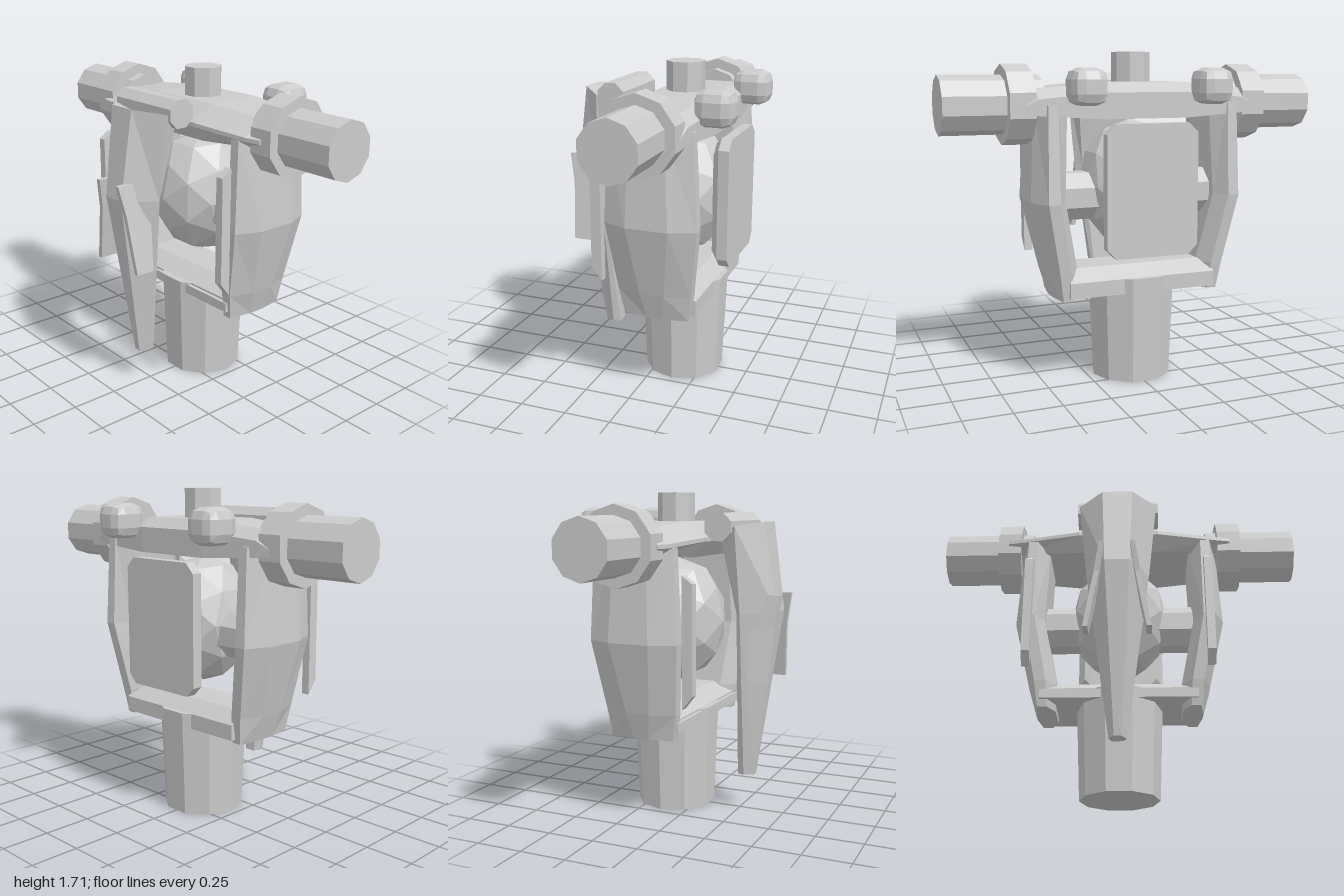
import * as THREE from 'three';
import { RoundedBoxGeometry } from 'three/addons/geometries/RoundedBoxGeometry.js';

const material = new THREE.MeshStandardMaterial({ color: 0xcccccc, flatShading: true });
const AXIS_Z = -0.13;

export function createModel() {
  const group = new THREE.Group();

  function add(name, geometry, x = 0, y = 0, z = 0) {
    const mesh = new THREE.Mesh(geometry, material);
    mesh.name = name;
    mesh.position.set(x, y, z);
    group.add(mesh);
    return mesh;
  }

  // Closed solid through rings of [x, y, z] corners, capped and wound outward
  function loft(rings) {
    const n = rings[0].length;
    const last = (rings.length - 1) * n;
    const points = rings.flat().map((p) => new THREE.Vector3(...p));
    const index = [];
    for (let r = 0; r < rings.length - 1; r++) {
      for (let i = 0; i < n; i++) {
        const a = r * n + i, b = r * n + ((i + 1) % n);
        index.push(a, b, b + n, a, b + n, a + n);
      }
    }
    for (let i = 1; i < n - 1; i++) {
      index.push(0, i + 1, i, last, last + i, last + i + 1);
    }
    let volume = 0;
    for (let i = 0; i < index.length; i += 3) {
      const [a, b, c] = [0, 1, 2].map((k) => points[index[i + k]]);
      volume += a.dot(b.clone().cross(c));
    }
    if (volume < 0) index.reverse();
    const geometry = new THREE.BufferGeometry().setFromPoints(points);
    geometry.setIndex(index);
    geometry.computeVertexNormals();
    return geometry;
  }

  // Profile of [z, y] points extruded across x
  const slab = (profile, x0, x1) =>
    loft([x0, x1].map((x) => profile.map(([z, y]) => [x, y, z])));

  // Cylinder lying along x
  const bar = (radius, length, sides, start = Math.PI / 2) =>
    new THREE.CylinderGeometry(radius, radius, length, sides, 1, false, start).rotateZ(Math.PI / 2);

  // Post with a wider top
  add('post', new THREE.CylinderGeometry(0.235, 0.213, 0.56, 10, 1, false, Math.PI / 2), 0, 0.28, -0.135);

  // Lower crossbar between the arms
  add('lowerCrossbar', slab(
    [[0.05, 0.5], [0.05, 0.56], [-0.05, 0.62], [-0.25, 0.62], [-0.33, 0.56], [-0.33, 0.48]], -0.4, 0.4));
  add('crossbarLip', new THREE.BoxGeometry(0.84, 0.05, 0.04), 0, 0.525, 0.05);

  // Arched upper beam: [x, front z, back z, bottom y, lip y, top y]
  const beam = [
    [-0.63, 0.07, -0.32, 1.41, 1.46, 1.49],
    [-0.55, 0.085, -0.33, 1.4, 1.46, 1.53],
    [-0.22, 0.125, -0.36, 1.38, 1.48, 1.56],
    [0.22, 0.125, -0.36, 1.38, 1.48, 1.56],
    [0.55, 0.085, -0.33, 1.4, 1.46, 1.53],
    [0.63, 0.07, -0.32, 1.41, 1.46, 1.49],
  ];
  add('upperBeam', loft(beam.map(([x, f, b, low, lip, top]) => [
    [x, low, f - 0.06], [x, lip - 0.02, f], [x, lip, f],
    [x, top, f - 0.12], [x, top, b + 0.06], [x, top - 0.05, b], [x, low, b],
  ])));
  add('topStub', new THREE.CylinderGeometry(0.1, 0.1, 0.2, 8, 1, false, Math.PI / 8), 0, 1.61, AXIS_Z);

  // Faceted core held in the frame
  add('core', new THREE.IcosahedronGeometry(1, 1).scale(0.275, 0.34, 0.275), 0, 1.03, AXIS_Z);

  // Back plate with clipped corners and a beveled rim
  const plate = (w, h, c, z) => [
    [-w + c, -h], [w - c, -h], [w, -h + c], [w, h - c],
    [w - c, h], [-w + c, h], [-w, h - c], [-w, -h + c],
  ].map(([x, y]) => [x, y + 1.025, z]);
  add('backPlate', loft([
    plate(0.21, 0.3, 0.05, -0.35), plate(0.245, 0.335, 0.05, -0.385), plate(0.245, 0.335, 0.05, -0.44),
  ]));

  // Hinge and hanging front guard: [half width, y, z] at front, side and back
  add('guardHinge', bar(0.077, 0.44, 8, Math.PI / 8), 0, 1.535, 0.2);
  const guard = [
    [[0.08, 1.56, 0.4], [0.21, 1.54, 0.285], [0.17, 1.47, 0.2]],
    [[0.065, 1.1, 0.465], [0.165, 1.09, 0.3], [0.13, 1.09, 0.27]],
    [[0.018, 0.2, 0.335], [0.045, 0.2, 0.285], [0.03, 0.2, 0.247]],
  ];
  add('frontGuard', loft(guard.map((ring) => [
    ...ring, ...[...ring].reverse().map(([x, y, z]) => [-x, y, z]),
  ])));

  for (const side of [1, -1]) {
    const prefix = side > 0 ? 'left' : 'right';

    // Shaft ends, collars and the core's pivot pins
    add(prefix + 'Shaft', bar(0.147, 0.5, 10), side * 0.75, 1.45, AXIS_Z);
    add(prefix + 'Collar', bar(0.2, 0.13, 10), side * 0.625, 1.45, AXIS_Z);
    add(prefix + 'PivotPin', bar(0.13, 0.25, 8, Math.PI / 8), side * 0.34, 0.98, AXIS_Z);

    // Side arm: [y, front z, back z, inner x, edge inner x, edge outer x, outer x]
    const arm = [
      [1.45, 0.09, -0.345, 0.39, 0.46, 0.51, 0.55],
      [0.97, 0.11, -0.37, 0.41, 0.46, 0.52, 0.575],
      [0.6, 0.07, -0.32, 0.335, 0.39, 0.45, 0.49],
      [0.46, 0.045, -0.3, 0.34, 0.38, 0.43, 0.45],
    ];
    add(prefix + 'Arm', loft(arm.map(([y, f, b, inner, ei, eo, outer]) => [
      [ei, y, f], [eo, y, f], [outer, y, f - 0.13], [outer, y, b + 0.13],
      [eo, y, b], [ei, y, b], [inner, y, b + 0.08], [inner, y, f - 0.08],
    ].map(([x, py, z]) => [side * x, py, z]))));

    // Thin upright strip in front of each arm
    add(prefix + 'Strip', slab([[0.135, 0.72], [0.135, 1.27], [0.19, 1.31], [0.19, 0.65]]
      .map(([z, y]) => [0.325 - z, y]), -0.022, 0.022), side * 0.49);

    // Chamfered knob behind the beam
    add(prefix + 'Knob', new RoundedBoxGeometry(0.18, 0.18, 0.2, 1, 0.055), side * 0.335, 1.54, -0.4);

    // Splayed rib on the front guard: [center x, y, outer z, inner z]
    const rib = [
      [0.08, 1.19, 0.5, 0.44], [0.105, 1.03, 0.47, 0.35], [0.16, 0.73, 0.45, 0.38],
    ];
    add(prefix + 'GuardRib', loft(rib.map(([x, y, f, b]) => [
      [x - 0.013, y, f], [x + 0.013, y, f], [x + 0.013, y, b - 0.03], [x - 0.013, y, b - 0.03],
    ].map(([px, py, z]) => [side * px, py, z]))));
  }

  return group;
}
